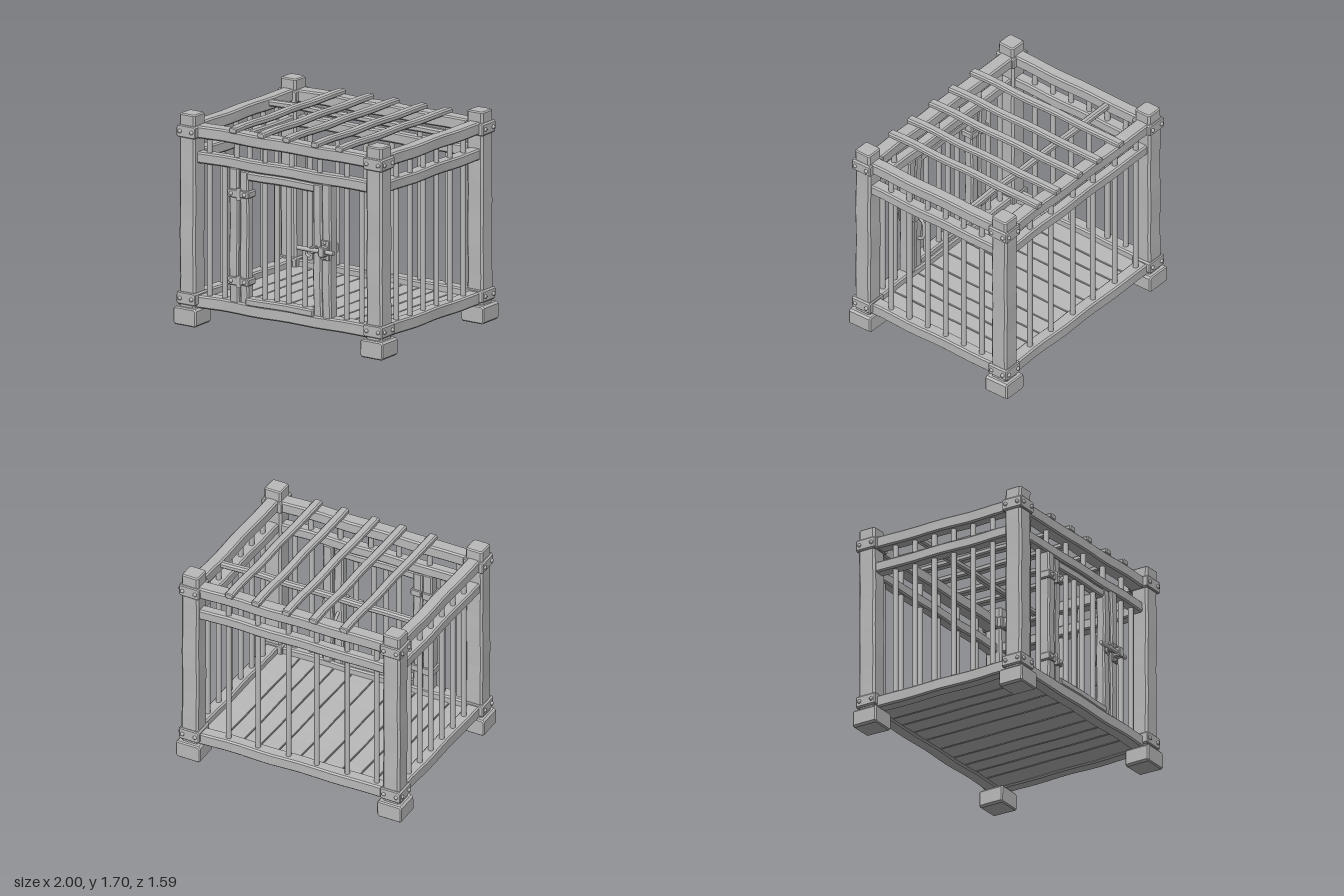
import * as THREE from 'three';

const grey = new THREE.MeshStandardMaterial({ color: 0xbababa });
grey.name = 'grey';

// Gentle hand-hewn unevenness, driven by position so that shared corners stay together
function hew(geo, amount) {
  const p = geo.attributes.position;
  for (let i = 0; i < p.count; i++) {
    const x = p.getX(i), y = p.getY(i), z = p.getZ(i);
    p.setXYZ(i,
      x + amount * Math.sin(z * 9 + y * 5 + x * 3),
      y + amount * Math.sin(z * 11 + x * 6 + 1.7),
      z);
  }
  geo.computeVertexNormals();
  return geo;
}

// Chamfered timber of cross-section w x h and the given length along z, centred
function timber(w, h, length, chamfer = 0.012, amount = 0.003) {
  const a = w / 2, b = h / 2, c = Math.min(chamfer, a * 0.5, b * 0.5);
  const shape = new THREE.Shape([
    [-a + c, -b], [a - c, -b], [a, -b + c], [a, b - c],
    [a - c, b], [-a + c, b], [-a, b - c], [-a, -b + c],
  ].map(([x, y]) => new THREE.Vector2(x, y)));
  const e = c * 0.6;
  const geo = new THREE.ExtrudeGeometry(shape, {
    depth: length - 2 * e, steps: Math.max(1, Math.round(length * 8)),
    bevelEnabled: true, bevelSegments: 1, bevelThickness: e, bevelSize: e, bevelOffset: -e,
  });
  geo.translate(0, 0, e - length / 2);
  return hew(geo, amount);
}

function add(parent, name, geo, x = 0, y = 0, z = 0) {
  const mesh = new THREE.Mesh(geo, grey);
  mesh.name = name;
  mesh.position.set(x, y, z);
  parent.add(mesh);
  return mesh;
}

// Timber filling the box from [x0,y0,z0] to [x1,y1,z1], grain along its longest side
function beam(parent, name, [x0, y0, z0], [x1, y1, z1], chamfer, amount) {
  const w = x1 - x0, h = y1 - y0, d = z1 - z0, m = Math.max(w, h, d);
  let geo;
  if (m === d) geo = timber(w, h, d, chamfer, amount);
  else if (m === w) geo = timber(d, h, w, chamfer, amount).rotateY(Math.PI / 2);
  else geo = timber(w, d, h, chamfer, amount).rotateX(-Math.PI / 2);
  return add(parent, name, geo, (x0 + x1) / 2, (y0 + y1) / 2, (z0 + z1) / 2);
}

function bar(parent, x, z, y0, y1, r = 0.022) {
  add(parent, 'bar', new THREE.CylinderGeometry(r, r, y1 - y0, 10), x, (y0 + y1) / 2, z);
}

function rivet(parent, x, y, z, r = 0.017) {
  add(parent, 'rivet', new THREE.SphereGeometry(r, 8, 6), x, y, z);
}

function group(parent, name) {
  const g = new THREE.Group();
  g.name = name;
  parent.add(g);
  return g;
}

const PX = 0.89, PZ = 0.685;

// Corner post with foot block and two riveted collars
function corner(parent, sx, sz) {
  const g = group(parent, 'cornerPost');
  const x = sx * PX, z = sz * PZ;
  const block = (name, r, y0, y1, ch) =>
    beam(g, name, [x - r, y0, z - r], [x + r, y1, z + r], ch, 0.002);
  block('foot', 0.108, 0, 0.145, 0.016);
  block('post', 0.075, 0.13, 1.7, 0.016);
  for (const y of [0.215, 1.56]) {
    block('collar', 0.09, y - 0.05, y + 0.05, 0.012);
    for (const o of [-0.055, 0.055]) {
      rivet(g, x + sx * 0.09, y, z + o);
      rivet(g, x + o, y, z + sz * 0.09);
    }
  }
}

export function createModel() {
  const model = new THREE.Group();
  model.name = 'woodenCage';

  for (const sx of [-1, 1]) for (const sz of [-1, 1]) corner(model, sx, sz);

  // Horizontal rails: bottom, upper and top on every wall
  const levels = [['bottomRail', 0.145, 0.247, 0.055], ['upperRail', 1.31, 1.4, 0.045], ['topRail', 1.515, 1.615, 0.06]];
  for (const [name, y0, y1, half] of levels) {
    for (const zc of [-0.69, 0.673]) beam(model, name, [-0.84, y0, zc - half], [0.84, y1, zc + half]);
    for (const xc of [-PX, PX]) beam(model, name, [xc - 0.053, y0, -0.63], [xc + 0.053, y1, 0.63]);
  }

  // Floor planks with narrow gaps
  const floor = group(model, 'floor');
  const seams = [-0.86, -0.67, -0.53, -0.37, -0.2, 0, 0.19, 0.35, 0.5, 0.65, 0.86];
  for (let i = 0; i < seams.length - 1; i++)
    beam(floor, 'plank', [seams[i] + 0.003, 0.16, -0.65], [seams[i + 1] - 0.003, 0.19, 0.635], 0.004, 0.0015);

  // Roof slats and the cross pole beneath them
  const roof = group(model, 'roof');
  for (const x of [-0.47, -0.2, 0.04, 0.31, 0.545])
    beam(roof, 'slat', [x - 0.036, 1.603, -0.76], [x + 0.036, 1.65, 0.74], 0.012);
  beam(roof, 'crossPole', [-0.86, 1.55, -0.34], [0.86, 1.603, -0.285], 0.015);

  // Side and back bars
  const bars = group(model, 'bars');
  for (const x of [-PX, PX])
    for (let i = 0; i < 6; i++) bar(bars, x, 0.45 - i * 0.182, 0.22, 1.54);
  const spaced = [-0.73, -0.47, -0.2, 0.05, 0.32, 0.58];
  for (const x of spaced) {
    bar(bars, x, -0.69, 0.22, 1.54);
    bar(bars, x, 0.673, 1.38, 1.54);
  }
  // Front bars beside the door
  for (const x of [-0.73, -0.585, 0.575, 0.72]) bar(bars, x, 0.673, 0.22, 1.34);

  // Door jambs
  beam(model, 'doorJamb', [-0.513, 0.235, 0.625], [-0.425, 1.32, 0.725]);
  beam(model, 'doorJamb', [0.37, 0.235, 0.625], [0.455, 1.32, 0.725]);

  // Door frame and bars
  const door = group(model, 'door');
  beam(door, 'doorStile', [-0.418, 0.235, 0.635], [-0.338, 1.305, 0.715]);
  beam(door, 'doorStile', [0.28, 0.235, 0.635], [0.362, 1.305, 0.715]);
  beam(door, 'doorRail', [-0.35, 1.235, 0.64], [0.29, 1.305, 0.71]);
  beam(door, 'doorRail', [-0.35, 0.232, 0.64], [0.29, 0.295, 0.735]);
  for (const x of [-0.2, -0.085, 0.025, 0.18]) bar(door, x, 0.675, 0.28, 1.25);

  // Hinges: straps wrapping jamb and stile, with knuckle and rivets
  for (const y of [0.415, 1.12]) {
    const hinge = group(model, 'hinge');
    beam(hinge, 'hingeStrap', [-0.525, y - 0.034, 0.615], [-0.43, y + 0.034, 0.738], 0.01, 0.002);
    beam(hinge, 'hingeStrap', [-0.415, y - 0.03, 0.625], [-0.322, y + 0.03, 0.73], 0.01, 0.002);
    add(hinge, 'knuckle', new THREE.CylinderGeometry(0.02, 0.02, 0.095, 10), -0.422, y, 0.725);
    for (const x of [-0.485, -0.36]) rivet(hinge, x, y, 0.736, 0.018);
  }

  // Sliding latch with plate, keeper and turned-down grip
  const latch = group(model, 'latch');
  beam(latch, 'latchPlate', [0.372, 0.71, 0.72], [0.45, 0.87, 0.737], 0.006, 0.001);
  beam(latch, 'keeper', [0.382, 0.745, 0.585], [0.438, 0.83, 0.792], 0.01, 0.001);
  for (const y of [0.73, 0.85]) rivet(latch, 0.41, y, 0.737, 0.013);
  add(latch, 'bolt', new THREE.CylinderGeometry(0.018, 0.018, 0.345, 10).rotateZ(Math.PI / 2), 0.338, 0.785, 0.76);
  beam(latch, 'boltGuide', [0.285, 0.755, 0.71], [0.325, 0.812, 0.77], 0.006, 0.001);
  const grip = new THREE.CatmullRomCurve3([
    new THREE.Vector3(0.25, 0.785, 0.755), new THREE.Vector3(0.252, 0.745, 0.757), new THREE.Vector3(0.285, 0.725, 0.755)]);
  add(latch, 'boltGrip', new THREE.TubeGeometry(grip, 8, 0.011, 8));

  // Pull handle on the inner face of the door
  const pull = new THREE.CatmullRomCurve3([[0.72, 0.64], [0.69, 0.598], [0.61, 0.583], [0.53, 0.598], [0.51, 0.64]]
    .map(([y, z]) => new THREE.Vector3(0.32, y, z)));
  add(door, 'innerHandle', new THREE.TubeGeometry(pull, 16, 0.013, 8));

  return model;
}
